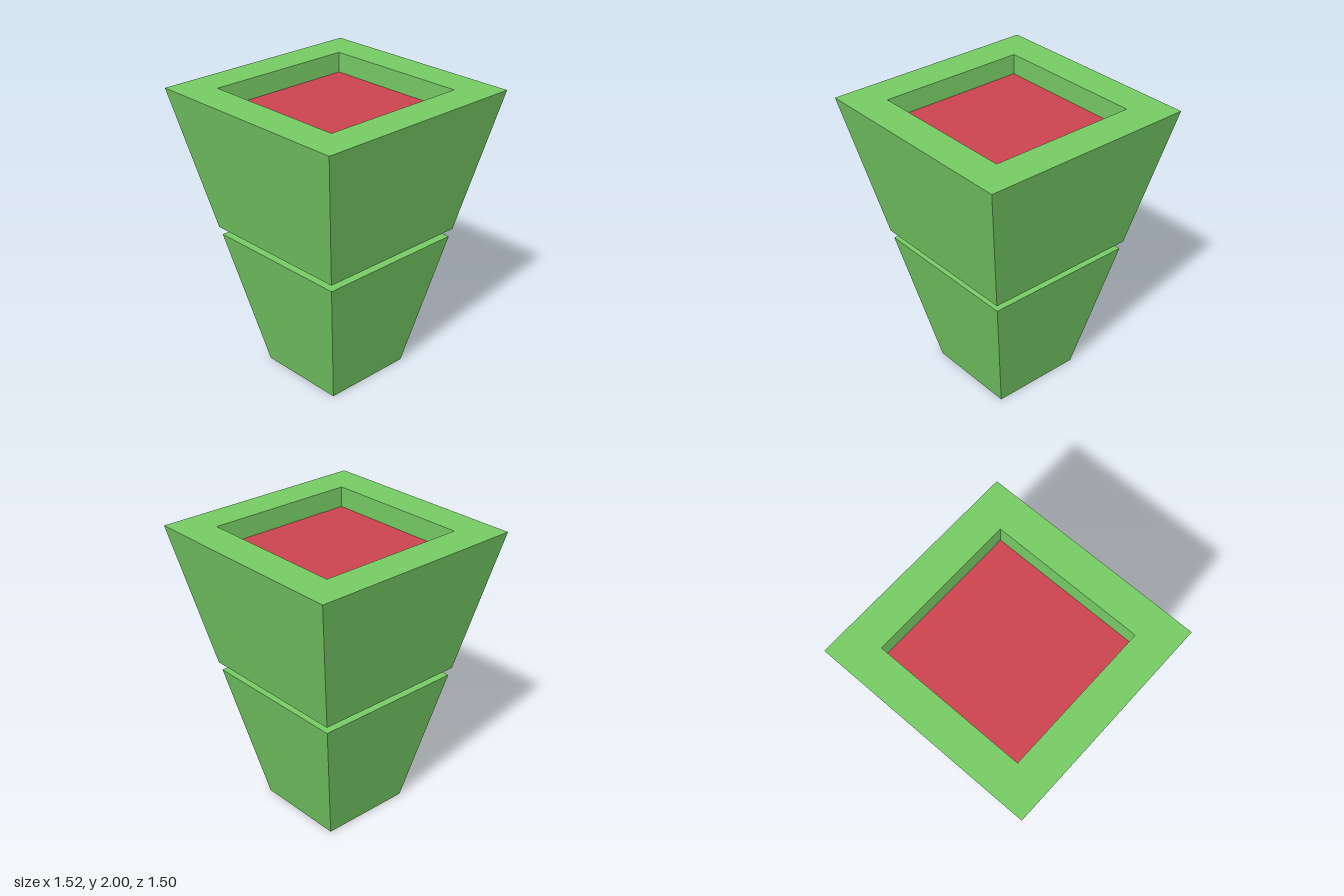
import * as THREE from 'three';

const DEPTH_RATIO = 0.987; // the planter is slightly narrower in z than in x

const green = new THREE.MeshStandardMaterial({ color: 0x77cc66, flatShading: true });
const red = new THREE.MeshStandardMaterial({ color: 0xcc4450, flatShading: true });

// Four-sided solid swept from a profile of [half width, height] points
function squareLathe(name, profile, material) {
  const points = profile.map(([w, y]) => new THREE.Vector2(w * Math.SQRT2, y));
  const geometry = new THREE.LatheGeometry(points, 4, Math.PI / 4).toNonIndexed();
  geometry.scale(1, 1, DEPTH_RATIO);
  geometry.computeVertexNormals();
  const mesh = new THREE.Mesh(geometry, material);
  mesh.name = name;
  return mesh;
}

export function createModel() {
  const model = new THREE.Group();
  model.name = 'planter';

  // Tapered lower block, closed at the bottom, with a ledge on top
  model.add(squareLathe('lowerBlock', [[0, 0], [0.325, 0], [0.535, 0.975], [0.47, 0.975]], green));

  // Recessed groove between the two blocks
  model.add(squareLathe('neck', [[0.47, 0.975], [0.48, 1.03]], green));

  // Flared upper block with a broad rim and a straight-walled recess
  model.add(squareLathe('upperBlock',
    [[0.48, 1.03], [0.55, 1.03], [0.76, 2], [0.525, 2], [0.525, 1.86]], green));

  // Flat filling at the bottom of the recess
  const filling = new THREE.Mesh(new THREE.PlaneGeometry(1.05, 1.05 * DEPTH_RATIO), red);
  filling.name = 'filling';
  filling.rotation.x = -Math.PI / 2;
  filling.position.y = 1.86;
  model.add(filling);

  return model;
}
